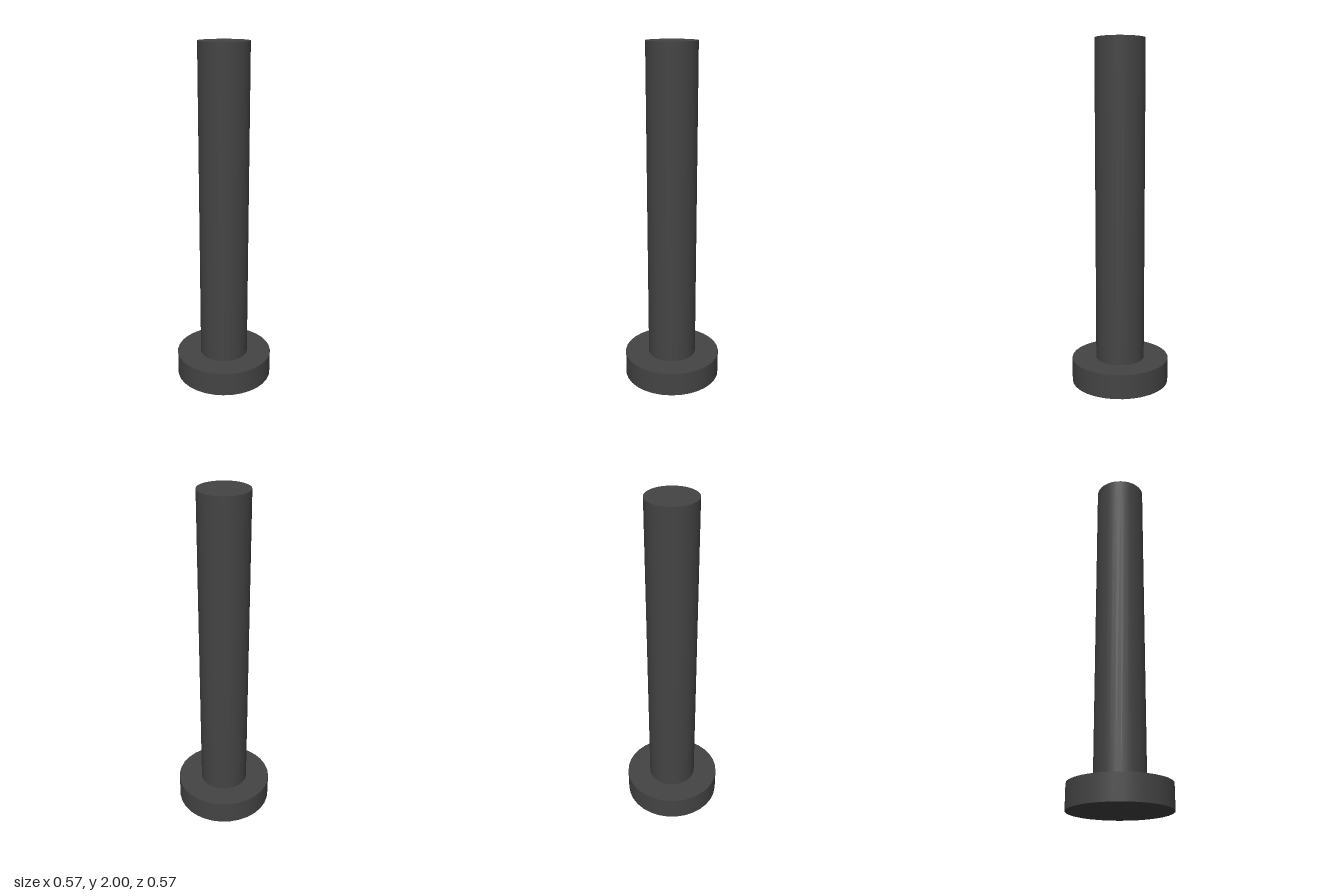
import * as THREE from 'three';

export function createModel() {
  const group = new THREE.Group();
  const material = new THREE.MeshStandardMaterial({ color: 0x444444 });
  const unit = 1 / 7;

  // Upright round part from a bottom height to a top height
  function addCylinder(name, radius, bottom, top) {
    const mesh = new THREE.Mesh(
      new THREE.CylinderGeometry(radius, radius, top - bottom, 32), material);
    mesh.name = name;
    mesh.position.y = (bottom + top) / 2;
    group.add(mesh);
  }

  // Wide disc at the foot
  addCylinder('base', 2 * unit, 0, unit);
  // Long plain shaft standing on the disc
  addCylinder('shaft', unit, unit, 2);

  return group;
}
